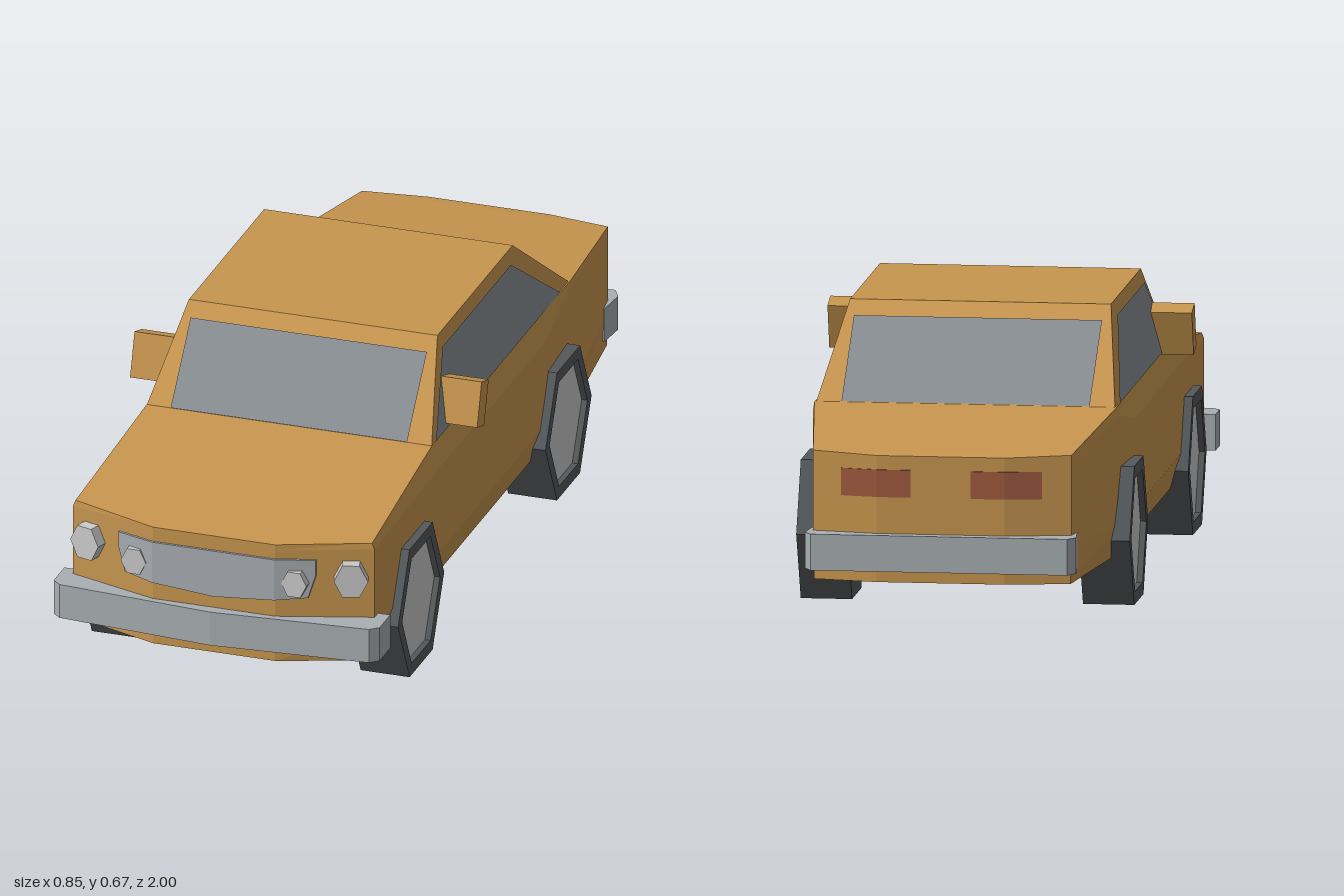
import * as THREE from 'three';

const PAINT = 0xc8964f, GLASS = 0x888e92, CHROME = 0xa9afb3, RUBBER = 0x55595c, LAMP = 0xc2c2c2, RED = 0xa0593f;

function part(name, geometry, color, side = THREE.FrontSide) {
  const mesh = new THREE.Mesh(geometry, new THREE.MeshStandardMaterial({ color, flatShading: true, side }));
  mesh.name = name;
  return mesh;
}

// Skin a list of rings (each counter-clockwise seen from the first end) and cap both ends
function loft(rings) {
  const n = rings[0].length, index = [];
  const last = (rings.length - 1) * n;
  for (let i = 0; i < rings.length - 1; i++) {
    for (let j = 0; j < n; j++) {
      const a = i * n + j, b = i * n + (j + 1) % n;
      index.push(a, a + n, b + n, a, b + n, b);
    }
  }
  for (let j = 1; j < n - 1; j++) {
    index.push(0, j, j + 1, last, last + j + 1, last + j);
  }
  const geometry = new THREE.BufferGeometry();
  geometry.setAttribute('position', new THREE.Float32BufferAttribute(rings.flat(2), 3));
  geometry.setIndex(index);
  const flat = geometry.toNonIndexed();
  flat.computeVertexNormals();
  return flat;
}

// Upright prism from an x, z outline
const prism = (outline, y0, y1) => loft([y1, y0].map(y => outline.map(([x, z]) => [x, y, z])));

// Flat pane from four corners
function pane(a, b, c, d) {
  const geometry = new THREE.BufferGeometry();
  geometry.setAttribute('position', new THREE.Float32BufferAttribute([a, b, c, a, c, d].flat(), 3));
  geometry.computeVertexNormals();
  return geometry;
}

// Six-sided lamp facing +z
const lamp = (r, depth) => new THREE.CylinderGeometry(r, r, depth, 6)
  .rotateY(Math.PI / 2).rotateX(Math.PI / 2).scale(1, 1.155, 1);

// Bowed ends of the body
const noseZ = x => 0.97 - 0.07 * Math.max(0, Math.abs(x) - 0.15) / 0.22;
const tailZ = x => -0.97 + 0.03 * Math.max(0, Math.abs(x) - 0.15) / 0.15;

// Thin plate following a bowed end; stations run from +x to -x as [x, y0, y1]
const bowedPlate = (stations, endZ, t) => loft(stations.map(([x, y0, y1]) => {
  const z = endZ(x);
  return [[x, y0, z + t], [x, y0, z - t], [x, y1, z - t], [x, y1, z + t]];
}));

export function createModel() {
  const car = new THREE.Group();
  car.name = 'car';

  // Lower body: z, half widths at sill, side and top, then shoulder and top heights
  const stations = [
    [0.97, 0.15, 0.15, 0.15, 0.40, 0.414],
    [0.90, 0.345, 0.37, 0.364, 0.405, 0.42],
    [0.44, 0.345, 0.37, 0.35, 0.415, 0.466],
    [-0.30, 0.345, 0.37, 0.35, 0.41, 0.467],
    [-0.53, 0.345, 0.356, 0.353, 0.45, 0.468],
    [-0.94, 0.30, 0.302, 0.302, 0.405, 0.42],
    [-0.97, 0.15, 0.15, 0.15, 0.40, 0.415],
  ];
  const body = loft(stations.map(([z, sill, mid, top, ys, yt]) => {
    const half = [[sill, 0.118], [mid, 0.2], [mid, ys], [top, yt]];
    return [...half.map(([x, y]) => [x, y, z]), ...half.reverse().map(([x, y]) => [-x, y, z])];
  }));
  car.add(part('body', body, PAINT));

  // Cabin tapering up to the roof
  const level = (w, y, front, back) => [[w, y, front], [w, y, back], [-w, y, back], [-w, y, front]];
  car.add(part('cabin', loft([level(0.305, 0.668, 0.27, -0.26), level(0.35, 0.464, 0.44, -0.53)]), PAINT));

  // Windows lie just proud of the sloping cabin walls
  const rise = y => (y - 0.464) / 0.204;
  const frontGlassZ = y => 0.44 - 0.17 * rise(y) + 0.005;
  const rearGlassZ = y => -0.53 + 0.27 * rise(y) - 0.005;
  const sideX = y => 0.35 - 0.045 * rise(y) + 0.003;
  for (const [name, zAt, y0] of [['windshield', frontGlassZ, 0.468], ['rearWindow', rearGlassZ, 0.47]]) {
    const y1 = 0.637;
    car.add(part(name, pane([-0.29, y0, zAt(y0)], [0.29, y0, zAt(y0)],
      [0.29, y1, zAt(y1)], [-0.29, y1, zAt(y1)]), GLASS, THREE.DoubleSide));
  }

  // Bumpers
  car.add(part('frontBumper', prism([[0.38, 0.968], [0.40, 0.95], [0.40, 0.875], [-0.40, 0.875],
    [-0.40, 0.95], [-0.38, 0.968], [0, 0.998]], 0.147, 0.232), CHROME));
  car.add(part('rearBumper', prism([[0.31, -0.895], [0.317, -0.97], [0.30, -1], [-0.30, -1],
    [-0.317, -0.97], [-0.31, -0.895]], 0.147, 0.232), CHROME));

  // Grille with a shallow pointed lower edge
  car.add(part('grille', bowedPlate([[0.242, 0.34, 0.378], [0.225, 0.282, 0.378], [0.15, 0.275, 0.378],
    [0, 0.262, 0.378], [-0.15, 0.275, 0.378], [-0.225, 0.282, 0.378], [-0.242, 0.34, 0.378]], noseZ, 0.006), CHROME));

  // Tyre section with a recessed face
  const tyreProfile = [[0, -0.06], [0.1625, -0.06], [0.1625, 0.06], [0.133, 0.06], [0.133, 0.042], [0, 0.042]]
    .map(([r, y]) => new THREE.Vector2(r, y));

  for (const s of [1, -1]) {
    const label = s > 0 ? 'left' : 'right';

    // Side window
    const y0 = 0.468, y1 = 0.637;
    car.add(part(label + 'SideWindow', pane([s * sideX(y0), y0, 0.415], [s * sideX(y0), y0, -0.46],
      [s * sideX(y1), y1, -0.22], [s * sideX(y1), y1, 0.262]), GLASS, THREE.DoubleSide));

    // Door mirror, leaning back
    const mirror = part(label + 'Mirror', new THREE.BoxGeometry(0.1, 0.108, 0.052), PAINT);
    mirror.position.set(s * 0.376, 0.524, 0.297);
    mirror.rotation.x = -0.3;
    car.add(mirror);

    // Headlights, turned slightly outward, and inner lamps
    const headlight = part(label + 'Headlight', lamp(0.04, 0.05), LAMP);
    headlight.position.set(s * 0.32, 0.335, 0.92);
    headlight.rotation.y = s * 0.3;
    const innerLamp = part(label + 'InnerLamp', lamp(0.031, 0.04), LAMP);
    innerLamp.position.set(s * 0.197, 0.32, 0.953);
    car.add(headlight, innerLamp);

    // Tail light
    const xs = [0.235, 0.15, 0.07].map(x => s * x).sort((a, b) => b - a);
    car.add(part(label + 'TailLight', bowedPlate(xs.map(x => [x, 0.318, 0.382]), tailZ, 0.003), RED));

    // Six-sided wheels, stretched so the flats reach the ground
    for (const [end, z] of [['Front', 0.629], ['Rear', -0.41]]) {
      const wheel = new THREE.Group();
      wheel.name = label + end + 'Wheel';
      const hub = part('hub', new THREE.CylinderGeometry(0.133, 0.133, 0.02, 6), LAMP);
      hub.position.y = 0.036;
      wheel.add(part('tyre', new THREE.LatheGeometry(tyreProfile, 6), RUBBER), hub);
      wheel.scale.x = 1.155;
      wheel.rotation.z = -s * Math.PI / 2;
      wheel.position.set(s * 0.33, 0.1625, z);
      car.add(wheel);
    }
  }
  return car;
}
